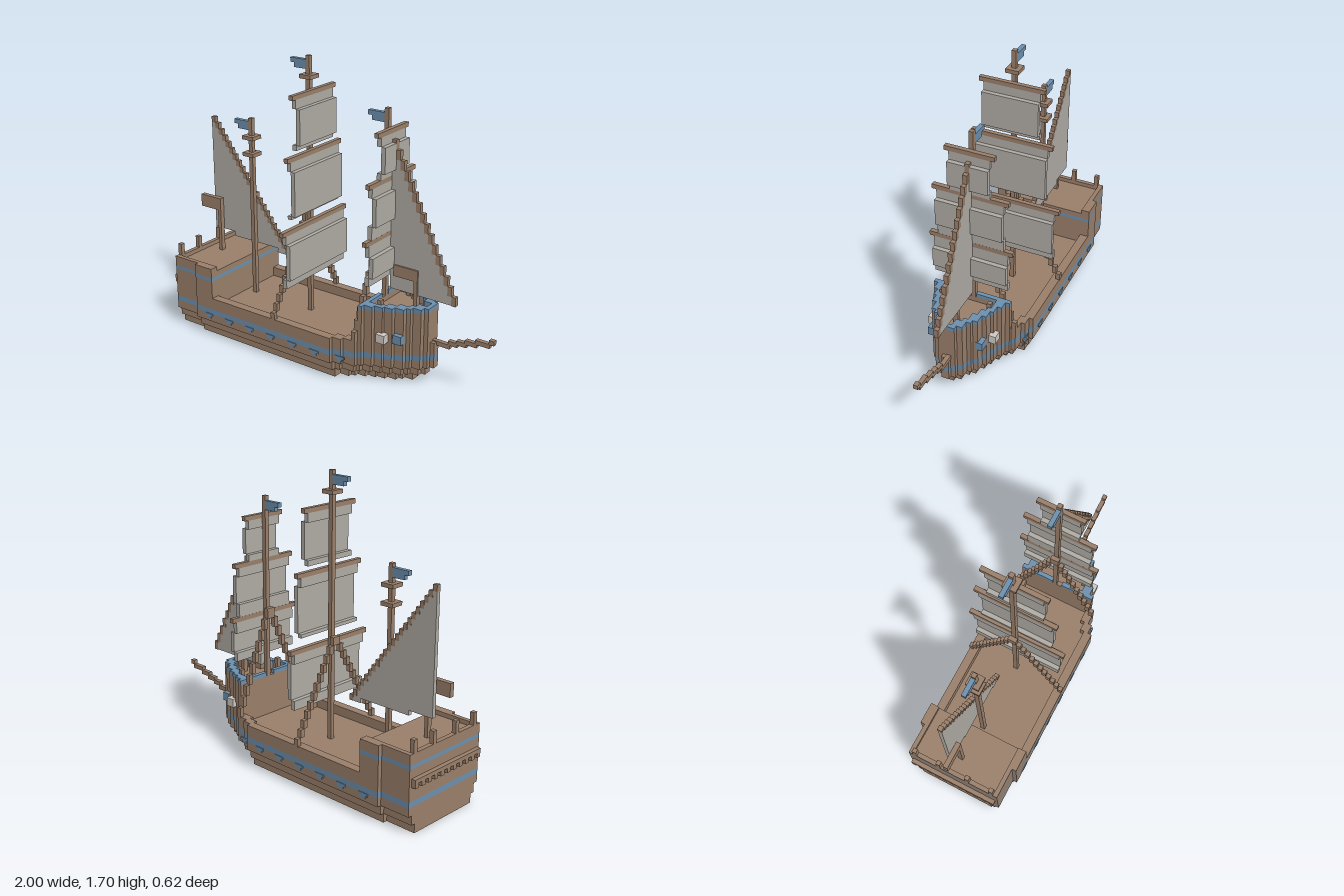
import * as THREE from 'three';

const U = 0.0256; // block size
const CZ = -0.0128; // centre plane of masts and sails

const mat = (name, color) => {
  const m = new THREE.MeshStandardMaterial({ color });
  m.name = name;
  return m;
};

// Plan outline of the hull: [end x, half width], from stern to bow
const OUTLINE = [
  [-0.795, 0.28], [0.175, 0.305], [0.23, 0.28], [0.305, 0.255], [0.33, 0.23], [0.38, 0.205],
  [0.43, 0.18], [0.48, 0.162], [0.535, 0.136], [0.56, 0.108], [0.61, 0.083], [0.635, 0.05], [0.66, 0.022],
];
const STERN = -0.975;

export function createModel() {
  const root = new THREE.Group();
  root.name = 'sailingShip';
  const wood = mat('wood brown', 0x9a7f6a);
  const blue = mat('paint blue', 0x6d90ae);
  const cloth = mat('sail cloth', 0xb0aca5);
  const pale = mat('pale window', 0xcfcac4);

  const part = (name) => {
    const g = new THREE.Group();
    g.name = name;
    root.add(g);
    return g;
  };
  const box = (g, m, x0, x1, y0, y1, z0, z1) => {
    const mesh = new THREE.Mesh(new THREE.BoxGeometry(x1 - x0, y1 - y0, z1 - z0), m);
    mesh.position.set((x0 + x1) / 2, (y0 + y1) / 2, (z0 + z1) / 2);
    mesh.name = g.name + 'Block';
    g.add(mesh);
  };

  // One horizontal layer following the outline, solid or as a thin wall
  const layer = (g, m, y0, y1, { from = -2, to = 2, inset = 0, shift = 0, wall = false } = {}) => {
    let start = STERN;
    OUTLINE.forEach(([end, half], i) => {
      const a = Math.max(start, from);
      const b = Math.min(i > 1 ? end - shift : end, to);
      start = i > 1 ? end - shift : end;
      const w = half - inset;
      if (b - a < 0.001 || w <= 0) return;
      const next = i + 1 < OUTLINE.length ? OUTLINE[i + 1][1] - inset : 0;
      const inner = Math.min(w, next) - U;
      if (wall && inner > 0) {
        box(g, m, a, b, y0, y1, inner, w);
        box(g, m, a, b, y0, y1, -w, -inner);
      } else box(g, m, a, b, y0, y1, -w, w);
    });
  };

  // Hull with stepped keel, stripe and waist bulwark
  const hull = part('hull');
  layer(hull, wood, 0, 0.052, { inset: 0.05, shift: 0.072 });
  layer(hull, wood, 0.052, 0.105, { inset: 0.025, shift: 0.025 });
  layer(hull, wood, 0.105, 0.153);
  layer(hull, wood, 0.185, 0.2);
  layer(hull, wood, 0.2, 0.255, { wall: true, from: -0.67, to: 0.305 });
  layer(hull, wood, 0.2, 0.255, { to: -0.67 });
  layer(hull, wood, 0.2, 0.255, { from: 0.305 });
  layer(part('hullStripe'), blue, 0.153, 0.185);

  // Scallops below the stripe
  const scallops = part('stripeScallops');
  for (let i = 0; i < 7; i++) {
    const x = -0.7 + i * 0.154;
    const z = x > 0.175 ? 0.28 : 0.305;
    for (const s of [-1, 1]) {
      box(scallops, blue, x - 0.03, x + 0.03, 0.138, 0.153, s * z - 0.004, s * z + 0.004);
      box(scallops, blue, x - 0.017, x + 0.017, 0.125, 0.138, s * z - 0.004, s * z + 0.004);
    }
  }

  // Raised stern castle
  const poop = part('sternCastle');
  layer(poop, wood, 0.255, 0.36, { to: -0.67 });
  layer(part('sternStripe'), blue, 0.36, 0.382, { to: -0.67 });
  layer(poop, wood, 0.382, 0.415, { to: -0.67 });
  layer(poop, wood, 0.415, 0.44, { to: -0.67, wall: true });
  box(poop, wood, STERN, STERN + U, 0.415, 0.44, -0.255, 0.255);
  for (const z of [-0.24, -0.09, 0.09, 0.24])
    box(poop, wood, STERN, STERN + U, 0.44, 0.51, z - U / 2, z + U / 2);

  // Gallery rail across the stern
  const gallery = part('sternGallery');
  box(gallery, wood, -1, STERN, 0.288, 0.31, -0.265, 0.265);
  for (let i = 0; i <= 10; i++) {
    const z = -0.25 + i * 0.05;
    box(gallery, wood, -1, STERN, 0.262, 0.288, z - U / 2, z + U / 2);
  }

  // Forecastle with blue rim and side windows
  const fore = part('forecastle');
  const rim = part('forecastleRim');
  layer(fore, wood, 0.255, 0.405, { from: 0.305, to: 0.635 });
  layer(fore, wood, 0.405, 0.437, { from: 0.305, to: 0.635, wall: true });
  layer(rim, blue, 0.437, 0.46, { from: 0.305, to: 0.635, wall: true });
  box(fore, wood, 0.305, 0.33, 0.405, 0.437, -0.2, 0.2);
  for (const s of [-1, 1]) {
    box(rim, blue, 0.305, 0.33, 0.437, 0.46, Math.min(s * 0.03, s * 0.2), Math.max(s * 0.03, s * 0.2));
    box(fore, wood, 0.38, 0.405, 0.405, 0.485, s * 0.142 - U / 2, s * 0.142 + U / 2);
  }
  const windows = part('bowWindows');
  for (const s of [-1, 1]) {
    box(windows, pale, 0.405, 0.458, 0.262, 0.312, s * 0.185 - 0.02, s * 0.185 + 0.02);
    box(windows, blue, 0.485, 0.537, 0.262, 0.312, s * 0.144 - 0.02, s * 0.144 + 0.02);
  }

  // Bowsprit rising in steps
  const sprit = part('bowsprit');
  [[0.63, 0.74, 0.235], [0.73, 0.785, 0.258], [0.78, 0.84, 0.274], [0.83, 0.9, 0.292], [0.89, 0.975, 0.312], [0.97, 1, 0.335]]
    .forEach(([a, b, y]) => box(sprit, wood, a, b, y, y + U, CZ - U / 2, CZ + U / 2));

  // Mast with pennant and optional crosstrees
  const mast = (name, x, y0, top, flagTop, trees) => {
    const g = part(name);
    box(g, wood, x, x + U, y0, top, CZ - U / 2, CZ + U / 2);
    for (const y of trees) {
      for (const s of [-1, 1]) {
        box(g, wood, x - U, x + 2 * U, y, y + 0.022, CZ + s * U - U / 2, CZ + s * U + U / 2);
        box(g, wood, x + s * U, x + U + s * U, y, y + 0.022, CZ - U / 2, CZ + U / 2);
      }
    }
    const f = part(name + 'Pennant');
    box(f, blue, x - 4 * U, x, flagTop - U, flagTop, CZ - U / 2, CZ + U / 2);
    box(f, blue, x - 3 * U, x, flagTop - 2 * U, flagTop - U, CZ - U / 2, CZ + U / 2);
  };
  mast('mizzenMast', -0.62, 0.2, 1.28, 1.26, [1.058, 1.157]);
  mast('mainMast', -0.205, 0.2, 1.695, 1.672, [1.572]);
  mast('foreMast', 0.305, 0.4, 1.49, 1.464, []);

  // Square sail: yard, flat head and foot, body set one block forward
  const squareSail = (name, x, yard, foot, half, bulgeTop, bulgeFoot) => {
    const y = part(name + 'Yard');
    box(y, wood, x, x + U, yard, yard + U, CZ - half - U, CZ + half + U);
    const g = part(name);
    box(g, cloth, x, x + U, bulgeTop, yard, CZ - half, CZ + half);
    box(g, cloth, x + U, x + 2 * U, bulgeFoot, bulgeTop, CZ - half, CZ + half);
    box(g, cloth, x, x + U, foot, bulgeFoot, CZ - half, CZ + half);
  };
  squareSail('mainTopSail', -0.18, 1.49, 1.21, 0.165, 1.44, 1.24);
  squareSail('mainMiddleSail', -0.18, 1.156, 0.83, 0.216, 1.105, 0.85);
  squareSail('mainLowerSail', -0.18, 0.748, 0.437, 0.267, 0.697, 0.49);
  squareSail('foreTopSail', 0.33, 1.363, 1.13, 0.115, 1.313, 1.17);
  squareSail('foreMiddleSail', 0.33, 1.108, 0.826, 0.192, 1.057, 0.9);
  squareSail('foreLowerSail', 0.33, 0.8, 0.57, 0.216, 0.735, 0.62);

  // Triangular sail in columns, with a stepped spar along its sloping edge
  const triSail = (name, x0, x1, top, low, z, foot) => {
    const g = part(name);
    const spar = part(name + 'Spar');
    const n = Math.round((x1 - x0) / U);
    const w = (x1 - x0) / n;
    const h = (top - low) / n;
    for (let i = 0; i < n; i++) {
      const x = x0 + i * w;
      const y = top - (i + 1) * h;
      box(spar, wood, x, x + w, y, y + h, z - U / 2, z + U / 2);
      const f = foot(x + w / 2);
      if (y - f > 0.001) box(g, cloth, x, x + w, f, y, z - 0.0115, z + 0.0115);
    }
  };
  triSail('mizzenSail', -0.922, -0.365, 1.235, 0.49, CZ - U, (x) => (x < -0.77 ? 0.545 : x < -0.45 ? 0.517 : 0.49));
  triSail('jibSail', 0.356, 0.765, 1.33, 0.49, CZ, () => 0.492);

  // Shrouds stepping down from each mast to the rails
  const shrouds = (name, x, top, bottom, spread) => {
    const g = part(name);
    const n = Math.round(spread / U);
    const h = (top - bottom) / n;
    for (let i = 0; i < n; i++) {
      for (const s of [-1, 1]) {
        const z = CZ * (1 - i / n) + s * (i + 0.5) * U;
        box(g, wood, x, x + U, top - (i + 1) * h, top - i * h, z - U / 2, z + U / 2);
      }
    }
  };
  shrouds('mainShrouds', -0.231, 0.8, 0.25, 0.3);
  shrouds('foreShrouds', 0.28, 0.85, 0.25, 0.255);

  // Small brown banners at stern and bow
  const banner = (name, x, y0, top, h) => {
    const g = part(name);
    box(g, wood, x, x + 0.022, y0, top, CZ - U / 2 + U * 0.2, CZ + U * 0.8);
    box(g, wood, x - 0.13, x, top - h, top, CZ - U / 2 + U * 0.2, CZ + U * 0.8);
  };
  banner('sternBanner', -0.872, 0.41, 0.745, 0.075);
  banner('bowBanner', 0.512, 0.4, 0.637, 0.065);

  return root;
}
